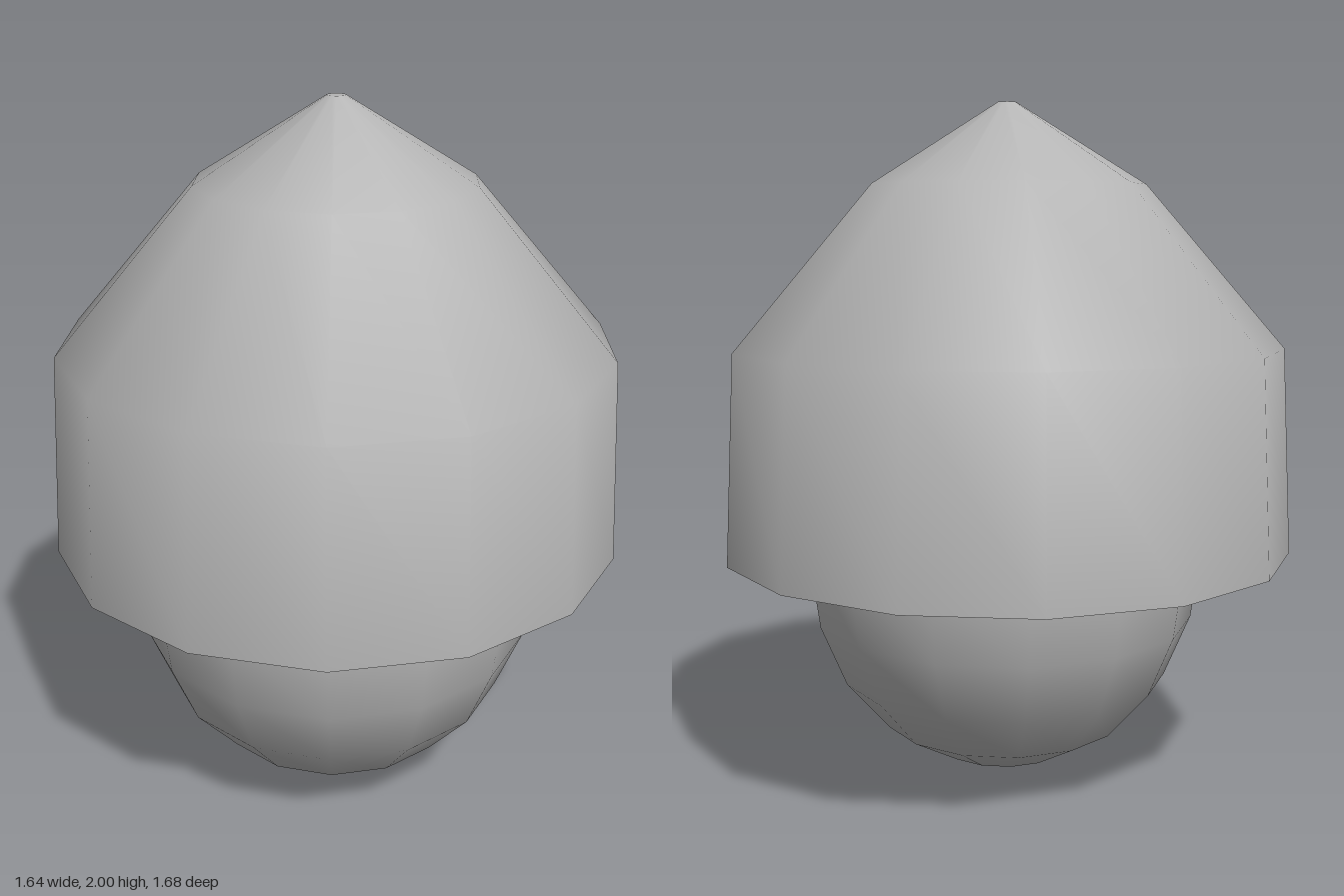
import * as THREE from 'three';

const SIDES = 14;

// Turned surface from [radius, height] pairs, listed bottom to top
function turned(name, pairs, material) {
  const points = pairs.map(([r, y]) => new THREE.Vector2(r, y));
  const mesh = new THREE.Mesh(new THREE.LatheGeometry(points, SIDES), material);
  mesh.name = name;
  return mesh;
}

export function createModel() {
  const model = new THREE.Group();
  model.name = 'cappedDome';
  const grey = new THREE.MeshStandardMaterial({ color: 0xb4b4b4 });
  grey.name = 'grey';

  // Faceted pointed cap, with its flat underside and small flat tip
  const cap = new THREE.Group();
  cap.name = 'cap';
  cap.add(
    turned('capShell', [[0.84, 0.69], [0.81, 1.295], [0.405, 1.765], [0.027, 2]], grey),
    turned('capUnderside', [[0, 0.69], [0.84, 0.69]], grey),
    turned('capTip', [[0.027, 2], [0, 2]], grey),
  );

  // Rounded body, slightly narrow and set forward; its upper half mirrors the lower inside the cap
  const lower = [[0, 0], [0.21, 0.035], [0.39, 0.13], [0.53, 0.28], [0.613, 0.465], [0.645, 0.68]];
  const upper = lower.slice(0, -1).reverse().map(([r, y]) => [r, 1.36 - y]);
  const body = turned('body', [...lower, ...upper], grey);
  body.scale.x = 0.94;
  body.position.z = 0.1;

  model.add(cap, body);
  return model;
}
